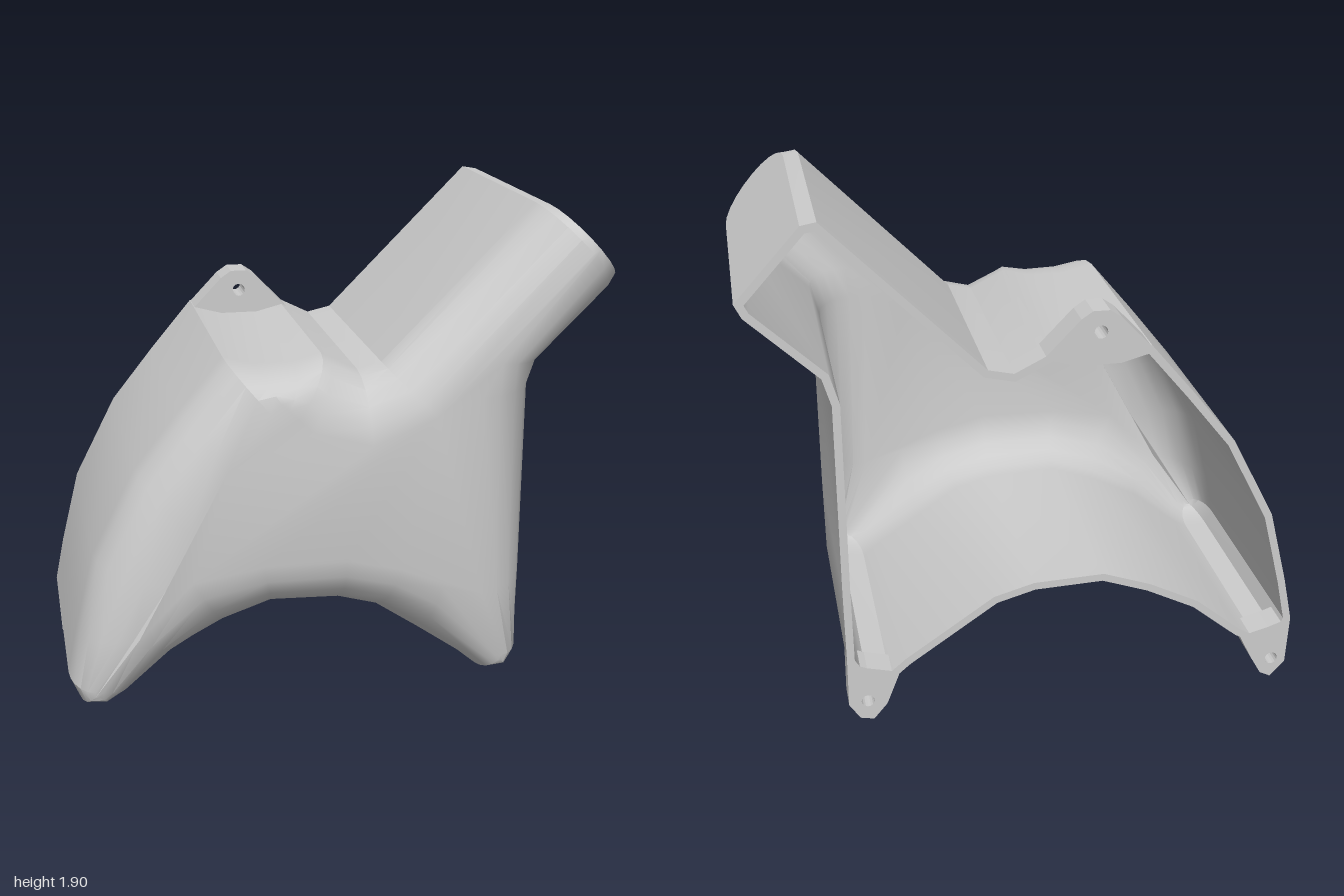
import * as THREE from 'three';
import { toCreasedNormals } from 'three/addons/utils/BufferGeometryUtils.js';

const BACK = -0.555, SHOULDER = 0.33, FRONT = 0.555, WALL = 0.028, STEPS = 5;

// Each row pairs a side-wall point with the front-face point it rounds over to
const PROFILE = [
  // right side wall
  [0.69, 0.25, 0.60, 0.24], [0.695, 0.55, 0.50, 0.52], [0.70, 1.26, 0.48, 1.26], [0.73, 1.36, 0.55, 1.38],
  // slanted duct with its flat closed end
  [0.975, 1.59, 0.87, 1.745], [1.0, 1.64, 0.89, 1.762], [0.775, 1.89, 0.885, 1.768], [0.72, 1.90, 0.86, 1.755],
  [0.17, 1.35, 0.32, 1.20], [0.08, 1.33, 0.09, 1.11], [-0.02, 1.38, -0.12, 1.17],
  // screw channel on top
  [-0.05, 1.395, -0.17, 1.22], [-0.15, 1.37, -0.20, 1.26], [-0.29, 1.37, -0.23, 1.28], [-0.40, 1.40, -0.27, 1.25],
  // curved left wall
  [-0.56, 1.21, -0.42, 1.05], [-0.72, 1.01, -0.56, 0.84], [-0.88, 0.70, -0.64, 0.64],
  [-0.95, 0.42, -0.76, 0.45], [-0.985, 0.25, -0.90, 0.24],
  // left foot
  [-0.95, 0.17, -0.90, 0.22], [-0.84, 0.16, -0.885, 0.22], [-0.77, 0.20, -0.87, 0.24],
  // arch
  [-0.60, 0.34, -0.74, 0.45], [-0.42, 0.43, -0.55, 0.65], [-0.25, 0.49, -0.30, 0.69], [0, 0.48, 0, 0.69],
  [0.14, 0.44, 0.20, 0.64], [0.30, 0.33, 0.35, 0.56],
  // right foot
  [0.46, 0.22, 0.58, 0.24], [0.53, 0.16, 0.59, 0.22], [0.64, 0.17, 0.60, 0.22],
];

// Outline moved inward by the wall thickness
function insetOutline(points, distance) {
  const n = points.length;
  return points.map((p, i) => {
    const before = p.clone().sub(points[(i + n - 1) % n]).normalize();
    const after = points[(i + 1) % n].clone().sub(p).normalize();
    const normal = new THREE.Vector2(-before.y - after.y, before.x + after.x).normalize();
    const miter = Math.max(0.6, normal.dot(new THREE.Vector2(-after.y, after.x)));
    return p.clone().addScaledVector(normal, distance / miter);
  });
}

// One skin: straight walls, rounded shoulder and front face
function skin(outline, face, thickness, inward) {
  const n = outline.length, pos = [], index = [];
  const tri = (a, b, c) => (inward ? index.push(a, c, b) : index.push(a, b, c));
  outline.forEach(p => pos.push(p.x, p.y, BACK));
  for (let k = 0; k <= STEPS; k++) {
    const a = (k / STEPS) * Math.PI / 2;
    outline.forEach((p, i) => {
      const q = face[i];
      // the front falls back slightly towards the feet
      const depth = FRONT - SHOULDER - thickness - 0.2 * Math.max(0, 0.5 - q.y);
      const r = Math.cos(a);
      pos.push(q.x + (p.x - q.x) * r, q.y + (p.y - q.y) * r, SHOULDER + depth * Math.sin(a));
    });
  }
  for (let k = 0; k <= STEPS; k++) {
    for (let i = 0; i < n; i++) {
      const j = (i + 1) % n, a = k * n + i, b = k * n + j;
      tri(a, b, b + n);
      tri(a, b + n, a + n);
    }
  }
  const start = (STEPS + 1) * n;
  THREE.ShapeUtils.triangulateShape(face, []).forEach(([a, b, c]) => tri(start + a, start + b, start + c));
  return buildGeometry(pos, index);
}

// Flat edge joining both skins around the open back
function rim(outer, inner) {
  const n = outer.length, pos = [], index = [];
  [...outer, ...inner].forEach(p => pos.push(p.x, p.y, BACK));
  for (let i = 0; i < n; i++) {
    const j = (i + 1) % n;
    index.push(i, n + i, n + j, i, n + j, j);
  }
  return buildGeometry(pos, index);
}

function buildGeometry(pos, index) {
  const g = new THREE.BufferGeometry();
  g.setAttribute('position', new THREE.Float32BufferAttribute(pos, 3));
  g.setIndex(index);
  return toCreasedNormals(g, 0.55);
}

// Screw tab with a round hole, flush with the open back
function tab(points, hx, hy, depth) {
  const shape = new THREE.Shape(points.map(([x, y]) => new THREE.Vector2(x, y)));
  shape.holes.push(new THREE.Path().absarc(hx, hy, 0.024, 0, Math.PI * 2, true));
  const g = new THREE.ExtrudeGeometry(shape, { depth, bevelEnabled: false, curveSegments: 8 });
  return g.translate(0, 0, BACK);
}

export function createModel() {
  const model = new THREE.Group();
  const grey = new THREE.MeshStandardMaterial({ color: 0xcccccc });
  const add = (name, geometry) => {
    const mesh = new THREE.Mesh(geometry, grey);
    mesh.name = name;
    model.add(mesh);
  };

  const outer = PROFILE.map(([x, y]) => new THREE.Vector2(x, y));
  const face = PROFILE.map(([, , x, y]) => new THREE.Vector2(x, y));
  const inner = insetOutline(outer, WALL);
  add('outerShell', skin(outer, face, 0, false));
  add('innerShell', skin(inner, face, WALL, true));
  add('backRim', rim(outer, inner));

  add('topScrewTab', tab([[-0.40, 1.395], [-0.29, 1.35], [-0.15, 1.35], [-0.03, 1.385], [-0.15, 1.51],
    [-0.19, 1.537], [-0.25, 1.537], [-0.29, 1.51]], -0.22, 1.46, 0.12));
  add('rightScrewTab', tab([[0.50, 0.19], [0.55, 0.06], [0.60, 0], [0.65, 0.01], [0.69, 0.07],
    [0.69, 0.25], [0.62, 0.22]], 0.62, 0.08, 0.11));
  add('leftScrewTab', tab([[-0.985, 0.25], [-0.975, 0.06], [-0.92, 0], [-0.88, 0.02], [-0.84, 0.09],
    [-0.79, 0.19], [-0.90, 0.22]], -0.92, 0.08, 0.11));

  return model;
}
